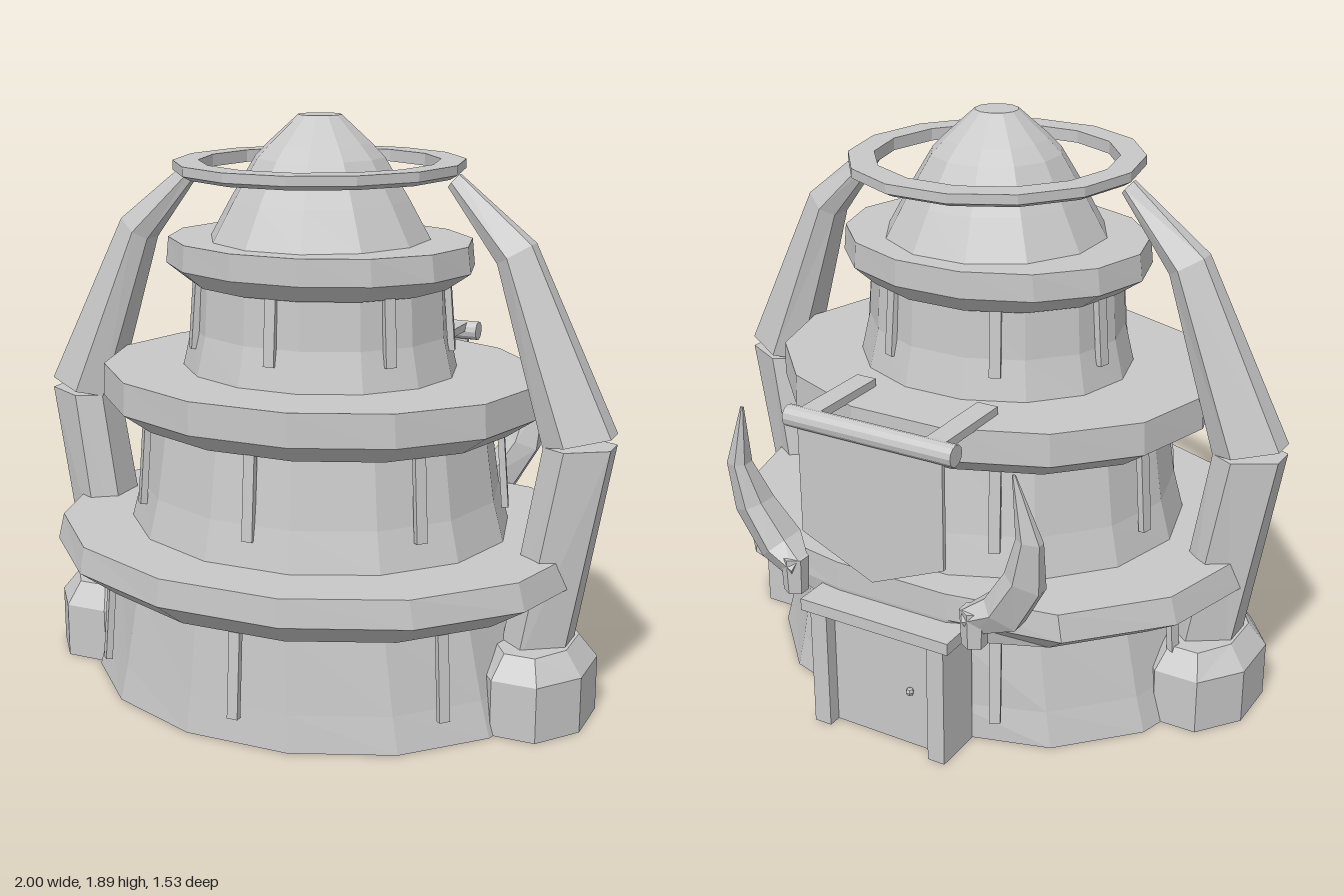
import * as THREE from 'three';

const stone = new THREE.MeshStandardMaterial({ color: 0xc8c8c8, flatShading: true, side: THREE.DoubleSide });
stone.name = 'grey stone';
const CZ = 0.015; // tower axis

function add(parent, name, geo, x = 0, y = 0, z = 0) {
  const m = new THREE.Mesh(geo, stone);
  m.name = name;
  m.position.set(x, y, z);
  parent.add(m);
  return m;
}
const box = (w, h, d) => new THREE.BoxGeometry(w, h, d);

// Faceted ring of [rx, rz, y] profile points, optionally cut flat at the back
function tier(profile, sides = 14, backLimit = -9) {
  const geo = new THREE.LatheGeometry(profile.map(([rx, , y]) => new THREE.Vector2(rx, y)), sides, Math.PI / sides);
  const p = geo.attributes.position;
  for (let i = 0; i < p.count; i++) {
    const [rx, rz] = profile[i % profile.length];
    const z = rx > 0 ? p.getZ(i) * rz / rx : 0;
    p.setZ(i, Math.max(z, backLimit));
  }
  geo.computeVertexNormals();
  return geo;
}

// Six-sided limb; each section is [outerX, outerY, innerX, innerY, z, halfDepth]
function limb(sections) {
  const hex = [[0, 0.4], [0.62, 1], [1, 0.55], [1, -0.55], [0.62, -1], [0, -0.4]];
  const pos = [], idx = [], n = hex.length;
  for (const [ox, oy, ix, iy, z, h] of sections)
    for (const [t, s] of hex) pos.push(ox + (ix - ox) * t, oy + (iy - oy) * t, z + s * h);
  for (let r = 0; r < sections.length - 1; r++)
    for (let i = 0; i < n; i++) {
      const a = r * n + i, b = r * n + (i + 1) % n;
      idx.push(a, b, a + n, b, b + n, a + n);
    }
  const e = (sections.length - 1) * n;
  for (let i = 1; i < n - 1; i++) idx.push(0, i + 1, i, e, e + i, e + i + 1);
  const geo = new THREE.BufferGeometry();
  geo.setAttribute('position', new THREE.Float32BufferAttribute(pos, 3));
  geo.setIndex(idx);
  geo.computeVertexNormals();
  return geo;
}

export function createModel() {
  const model = new THREE.Group();
  model.name = 'tower';

  // Walls and overhanging roofs of the three storeys
  add(model, 'lowerWall', tier([[0.785, 0.65, 0], [0.75, 0.637, 0.12], [0.69, 0.615, 0.38], [0.67, 0.59, 0.47], [0.62, 0.55, 0.55]], 14, -0.6), 0, 0, CZ);
  add(model, 'lowerRoof', tier([[0.69, 0.615, 0.385], [0.78, 0.665, 0.375], [0.915, 0.77, 0.46], [0.89, 0.765, 0.55], [0, 0, 0.553]], 14, -0.66), 0, 0, CZ);
  add(model, 'middleWall', tier([[0.645, 0.57, 0.55], [0.61, 0.54, 0.68], [0.575, 0.505, 0.92]]), 0, 0, CZ);
  add(model, 'middleRoof', tier([[0.57, 0.5, 0.9], [0.645, 0.535, 0.9], [0.74, 0.62, 0.965], [0.735, 0.62, 1.072], [0, 0, 1.075]]), 0, 0, CZ);
  add(model, 'upperWall', tier([[0.46, 0.405, 1.07], [0.43, 0.375, 1.2], [0.42, 0.365, 1.38]]), 0, 0, CZ);
  add(model, 'upperRoof', tier([[0.41, 0.36, 1.355], [0.435, 0.38, 1.355], [0.515, 0.43, 1.41], [0.505, 0.43, 1.495], [0, 0, 1.5]]), 0, 0, CZ);

  // Dome and floating halo
  add(model, 'dome', tier([[0.362, 0.367, 1.49], [0.29, 0.297, 1.62], [0.209, 0.215, 1.755], [0.165, 0.17, 1.8], [0.07, 0.07, 1.887], [0, 0, 1.887]], 12), 0, 0, CZ);
  add(model, 'halo', tier([[0.385, 0.395, 1.705], [0.44, 0.455, 1.7], [0.465, 0.487, 1.715], [0.465, 0.487, 1.745], [0.385, 0.395, 1.745], [0.385, 0.395, 1.705]]), 0, 0, CZ);

  // Seven thin buttresses around each storey
  for (const [name, rx, rz, y0, y1] of [
    ['lowerButtress', 0.755, 0.638, 0.09, 0.39],
    ['middleButtress', 0.615, 0.525, 0.63, 0.92],
    ['upperButtress', 0.43, 0.368, 1.145, 1.37],
  ]) {
    for (let i = 0; i < 7; i++) {
      const a = i * Math.PI * 2 / 7;
      const post = add(model, name, box(0.036, y1 - y0, 0.022), rx * Math.sin(a), (y0 + y1) / 2, CZ + rz * Math.cos(a));
      post.rotation.order = 'YXZ';
      post.rotation.set(-0.08, Math.atan2(Math.sin(a) / rx, Math.cos(a) / rz), 0);
    }
  }

  // Mirrored feet, curved arms and horns
  for (const s of [1, -1]) {
    const side = new THREE.Group();
    side.name = s > 0 ? 'leftSide' : 'rightSide';
    side.scale.x = s;
    model.add(side);
    add(side, 'foot', tier([[0.192, 0.25, 0], [0.192, 0.25, 0.185], [0.13, 0.195, 0.26], [0, 0, 0.26]], 8), 0.775, 0, 0.045);
    add(side, 'lowerArm', limb([
      [0.875, 0.2, 0.675, 0.2, 0.045, 0.135],
      [0.998, 0.912, 0.79, 0.905, 0.04, 0.107],
    ]));
    add(side, 'upperArm', limb([
      [0.998, 0.947, 0.788, 0.903, 0.04, 0.105],
      [0.72, 1.52, 0.615, 1.457, 0.026, 0.068],
      [0.475, 1.72, 0.44, 1.68, 0.02, 0.022],
    ]));
    add(side, 'hornSocket', new THREE.CylinderGeometry(0.045, 0.04, 0.12, 6), 0.33, 0.5, -0.69);
    add(side, 'horn', limb([
      [0.33, 0.48, 0.3, 0.56, -0.69, 0.045],
      [0.465, 0.52, 0.365, 0.605, -0.652, 0.078],
      [0.55, 0.67, 0.44, 0.72, -0.672, 0.06],
      [0.56, 0.84, 0.485, 0.85, -0.7, 0.035],
      [0.485, 1.05, 0.475, 1.05, -0.72, 0.005],
    ]));
    // Door posts and banner beams
    add(side, 'doorPost', box(0.06, 0.41, 0.17), 0.215, 0.205, -0.65);
    add(side, 'bannerBeam', box(0.07, 0.028, 0.3), 0.22, 1.084, -0.57);
  }

  // Rear door
  add(model, 'door', box(0.4, 0.41, 0.08), 0, 0.205, -0.65);
  add(model, 'doorKnob', new THREE.SphereGeometry(0.014, 6, 4), -0.1, 0.2, -0.7);
  add(model, 'lintel', box(0.54, 0.04, 0.17), 0, 0.43, -0.665);

  // Hanging banner with a pointed hem
  add(model, 'bannerRod', new THREE.CylinderGeometry(0.034, 0.034, 0.59, 12), 0, 1.068, -0.728).rotation.z = Math.PI / 2;
  const cloth = new THREE.Shape([[-0.255, 1.06], [-0.255, 0.69], [0, 0.58], [0.255, 0.69], [0.255, 1.06]].map(([x, y]) => new THREE.Vector2(x, y)));
  add(model, 'banner', new THREE.ExtrudeGeometry(cloth, { depth: 0.015, bevelEnabled: false }), 0, 0, -0.74);

  return model;
}
